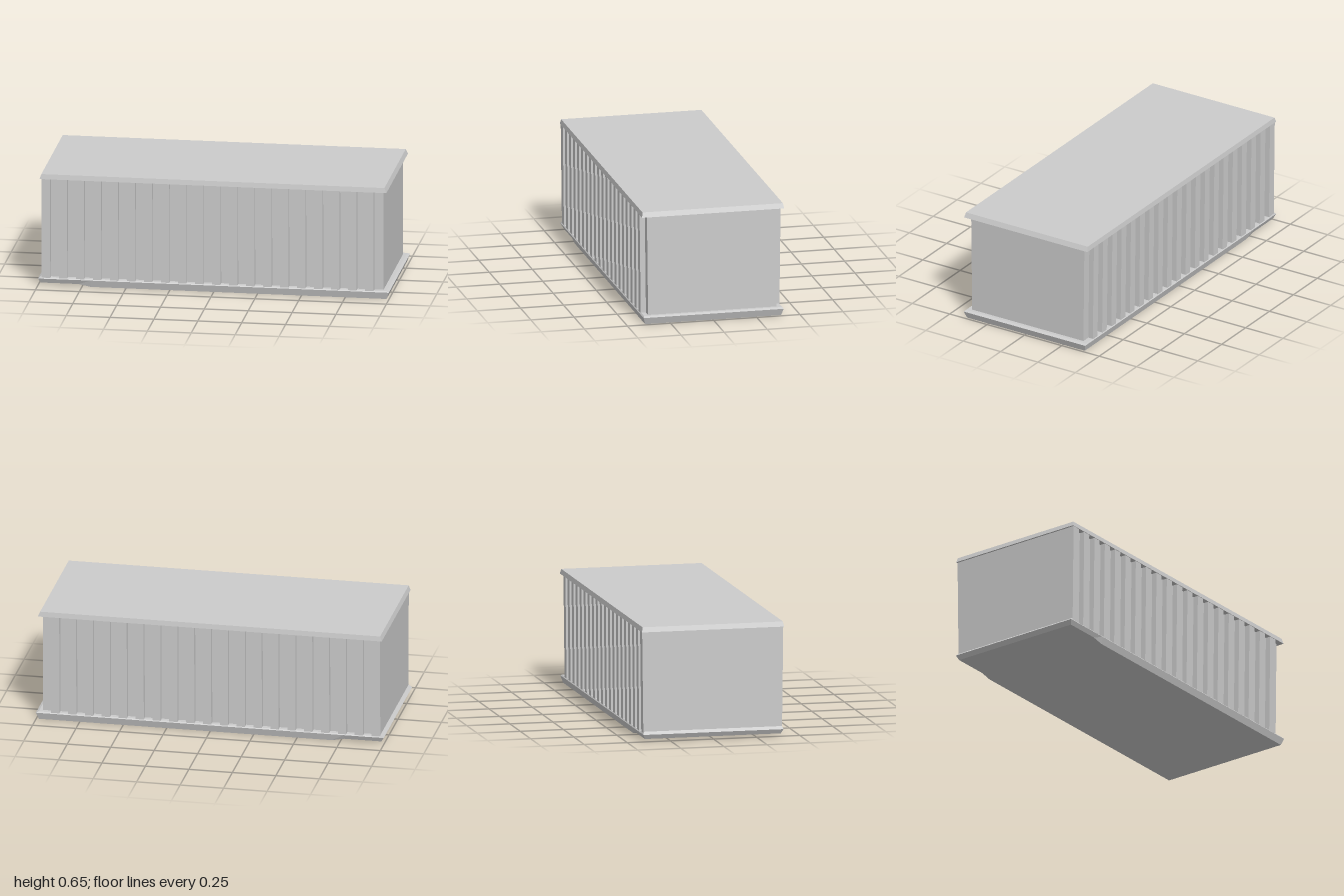
import * as THREE from 'three';

const material = new THREE.MeshStandardMaterial({ color: 0xcccccc, flatShading: true });

function addMesh(group, name, geometry) {
  geometry.computeVertexNormals();
  const mesh = new THREE.Mesh(geometry, material);
  mesh.name = name;
  group.add(mesh);
}

// Rectangular slab lofted through levels: [y, left x, right x, half depth].
// Stations are inner x positions where the slab is split.
function flaredSlab(levels, stations = [], adjustY = (x, y) => y) {
  const nx = stations.length + 1, ny = levels.length - 1;
  const geometry = new THREE.BoxGeometry(nx, ny, 2, nx, ny, 1);
  const p = geometry.attributes.position;
  for (let i = 0; i < p.count; i++) {
    const col = Math.round(p.getX(i) + nx / 2);
    const row = Math.round(p.getY(i) + ny / 2);
    const [y, left, right, depth] = levels[row];
    const x = col === 0 ? left : col === nx ? right : stations[col - 1];
    p.setXYZ(i, x, adjustY(x, y, row), p.getZ(i) * depth);
  }
  return geometry;
}

// Corrugated footprint extruded upward, widening slightly toward the roof
function corrugatedBody() {
  const left = -0.98, right = 0.965, half = 0.402, groove = 0.03;
  const bottom = 0.035, top = 0.64;
  const count = 20, pitch = 0.097, width = 0.049, first = -0.93;
  const side = [[left, half]];
  for (let i = 0; i < count; i++) {
    const a = first + i * pitch;
    side.push([a, half], [a, half - groove]);
    if (i < count - 1) side.push([a + width, half - groove], [a + width, half]);
    else side.push([right, half - groove]);
  }
  const outline = [...side, ...side.map(([x, z]) => [x, -z]).reverse()];
  const shape = new THREE.Shape(outline.map(([x, z]) => new THREE.Vector2(x, z)));
  const geometry = new THREE.ExtrudeGeometry(shape, { depth: top - bottom, bevelEnabled: false });
  geometry.rotateX(-Math.PI / 2).translate(0, bottom, 0);
  const p = geometry.attributes.position;
  for (let i = 0; i < p.count; i++) {
    const t = (p.getY(i) - bottom) / (top - bottom);
    p.setZ(i, p.getZ(i) * (1 + 0.018 * t));
  }
  return geometry;
}

export function createModel() {
  const group = new THREE.Group();
  group.name = 'cargoContainer';

  addMesh(group, 'corrugatedBody', corrugatedBody());

  // Floor frame: flares outward, with a raised underside and small lip at the left end
  const floor = flaredSlab(
    [[0, -0.985, 0.985, 0.394], [0.04, -1, 1, 0.406], [0.047, -0.982, 0.985, 0.4]],
    [-0.93, -0.77, -0.7],
    (x, y, row) => {
      if (row === 0 && x < -0.75) return 0.014;
      if (row === 2 && x < -0.95) return 0.055;
      return y;
    }
  );
  addMesh(group, 'floorFrame', floor);

  // Roof cap with sloping overhang
  addMesh(group, 'roofCap', flaredSlab([[0.625, -0.99, 0.987, 0.412], [0.653, -0.98, 0.975, 0.407]]));

  return group;
}
